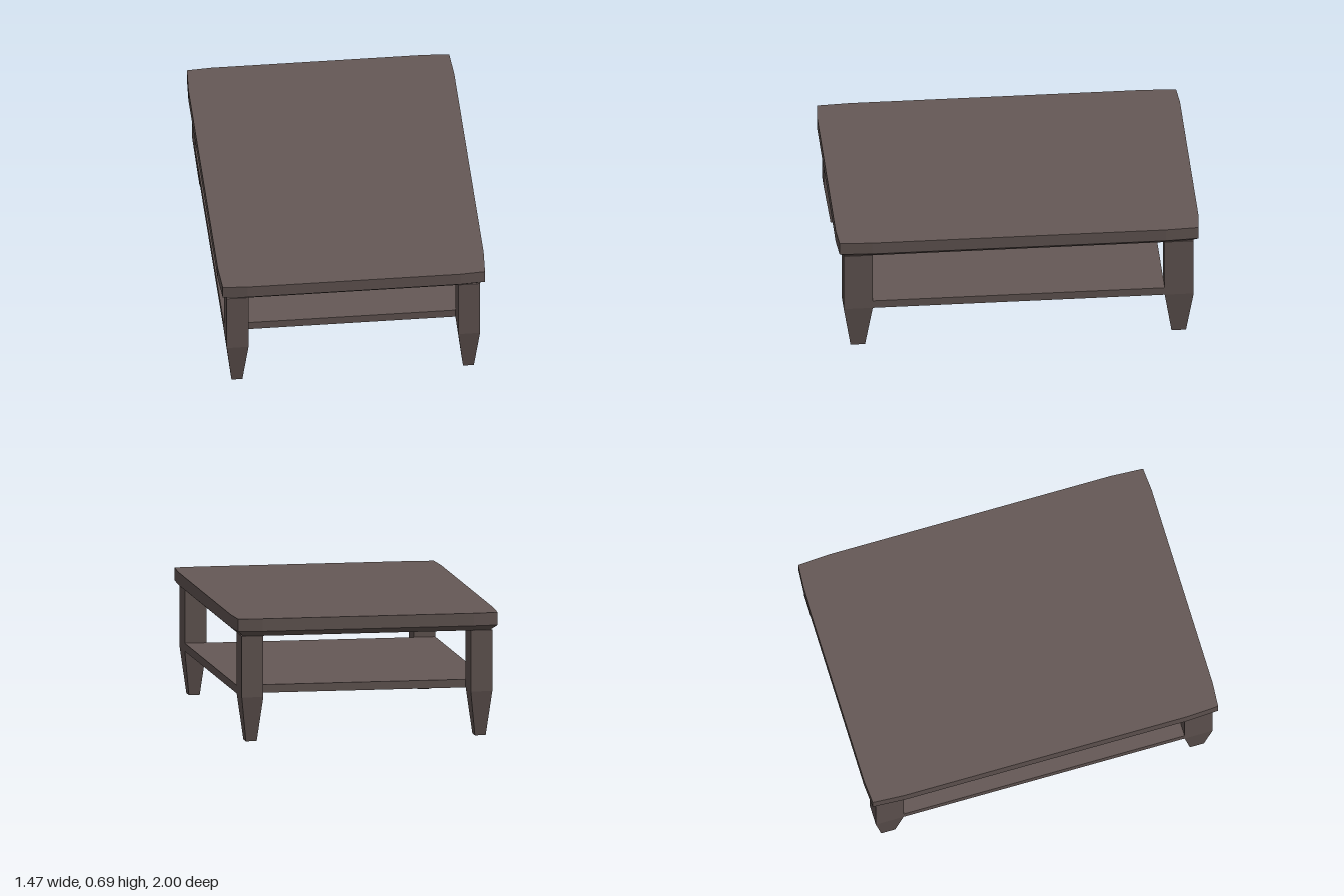
import * as THREE from 'three';

const wood = new THREE.MeshStandardMaterial({ color: 0x665956, flatShading: true });
wood.name = 'dark brown wood';

// Applies a rule to each vertex and rebuilds flat normals
function reshape(geometry, rule) {
  const g = geometry.index ? geometry.toNonIndexed() : geometry;
  const p = g.attributes.position;
  const v = new THREE.Vector3();
  for (let i = 0; i < p.count; i++) {
    rule(v.fromBufferAttribute(p, i));
    p.setXYZ(i, v.x, v.y, v.z);
  }
  g.computeVertexNormals();
  return g;
}

function addPart(group, name, geometry, x = 0, y = 0, z = 0) {
  const mesh = new THREE.Mesh(geometry, wood);
  mesh.name = name;
  mesh.position.set(x, y, z);
  group.add(mesh);
  return mesh;
}

// Slab with softly drawn-in corners and a chamfered lower edge
function tabletopGeometry() {
  const corner = [[0.735, 0.81], [0.725, 0.99], [0.59, 1]];
  const flipped = [...corner].reverse();
  const outline = [
    ...corner,
    ...flipped.map(([x, y]) => [-x, y]),
    ...corner.map(([x, y]) => [-x, -y]),
    ...flipped.map(([x, y]) => [x, -y]),
  ].map(([x, y]) => new THREE.Vector2(x, y));
  const slab = new THREE.ExtrudeGeometry(new THREE.Shape(outline), { depth: 0.1, steps: 2, bevelEnabled: false });
  slab.rotateX(-Math.PI / 2);
  return reshape(slab, (v) => {
    if (v.y < 0.01) {
      v.x *= 0.7 / 0.735;
      v.z *= 0.965;
    } else if (v.y < 0.09) v.y = 0.03;
  });
}

// Square post that tapers to half its width below the shelf
function legGeometry() {
  const post = new THREE.BoxGeometry(0.12, 0.59, 0.16, 1, 2, 1).translate(0, 0.295, 0);
  return reshape(post, (v) => {
    if (v.y < 0.01) {
      v.x *= 0.5;
      v.z *= 0.5;
    } else if (v.y < 0.5) v.y = 0.25;
  });
}

export function createModel() {
  const table = new THREE.Group();
  table.name = 'coffeeTable';

  addPart(table, 'tabletop', tabletopGeometry(), 0, 0.59, 0);

  // Shelf spans the full width, between the front and back legs
  addPart(table, 'lowerShelf', new THREE.BoxGeometry(1.4, 0.045, 1.61), 0, 0.2725, 0);

  const leg = legGeometry();
  for (const [sx, side] of [[1, 'Left'], [-1, 'Right']]) {
    for (const [sz, end] of [[1, 'front'], [-1, 'back']]) {
      addPart(table, `${end}${side}Leg`, leg, sx * 0.64, 0, sz * 0.885);
    }
  }
  return table;
}
